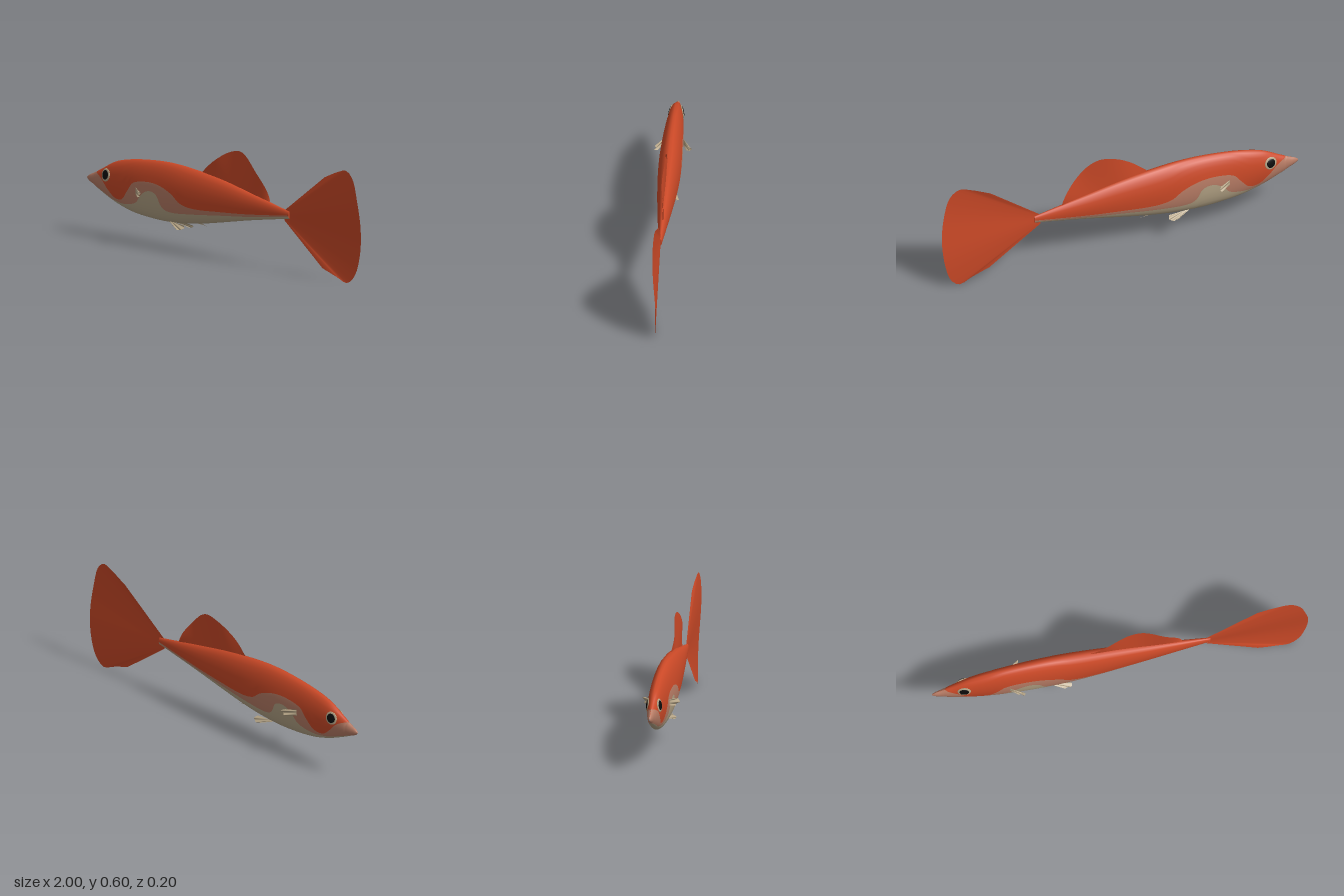
import * as THREE from 'three';

const paint = (name, color, side = THREE.FrontSide) => {
  const m = new THREE.MeshStandardMaterial({ color, side });
  m.name = name;
  return m;
};

// Smooth cubic through [x, value] points
function track(pts) {
  const slope = i => {
    const a = pts[Math.max(0, i - 1)], b = pts[Math.min(pts.length - 1, i + 1)];
    return (b[1] - a[1]) / (b[0] - a[0]);
  };
  return x => {
    let i = 0;
    while (i < pts.length - 2 && x > pts[i + 1][0]) i++;
    const [x0, y0] = pts[i], [x1, y1] = pts[i + 1];
    const d = x1 - x0, t = (x - x0) / d, t2 = t * t, t3 = t2 * t;
    return y0 * (2 * t3 - 3 * t2 + 1) + slope(i) * d * (t3 - 2 * t2 + t)
      + y1 * (3 * t2 - 2 * t3) + slope(i + 1) * d * (t3 - t2);
  };
}

// Body profile: back, belly and half width along x
const back = track([[-1, 0.3], [-0.985, 0.312], [-0.95, 0.327], [-0.9, 0.352], [-0.8, 0.405], [-0.7, 0.432],
  [-0.55, 0.452], [-0.38, 0.46], [-0.2, 0.448], [0, 0.42], [0.2, 0.38], [0.48, 0.323]]);
const belly = track([[-1, 0.292], [-0.985, 0.28], [-0.95, 0.264], [-0.9, 0.24], [-0.8, 0.198], [-0.7, 0.168],
  [-0.6, 0.152], [-0.45, 0.143], [-0.3, 0.15], [-0.15, 0.17], [0, 0.198], [0.2, 0.237], [0.48, 0.285]]);
const halfWidth = track([[-1, 0.003], [-0.985, 0.009], [-0.95, 0.016], [-0.9, 0.025], [-0.8, 0.038], [-0.6, 0.052],
  [-0.35, 0.059], [-0.15, 0.055], [0.1, 0.04], [0.3, 0.024], [0.48, 0.009]]);
// Colour borders on the flank
const creamTop = track([[-1, 0.28], [-0.9, 0.25], [-0.8, 0.212], [-0.7, 0.2], [-0.6, 0.225], [-0.56, 0.27],
  [-0.5, 0.3], [-0.44, 0.285], [-0.41, 0.23], [-0.36, 0.208], [-0.25, 0.212], [0, 0.238], [0.2, 0.258], [0.48, 0.295]]);
const redBottom = track([[-1, 0.33], [-0.94, 0.338], [-0.87, 0.31], [-0.82, 0.26], [-0.77, 0.222], [-0.71, 0.226],
  [-0.66, 0.28], [-0.62, 0.325], [-0.52, 0.346], [-0.42, 0.34], [-0.33, 0.308], [-0.27, 0.266], [-0.18, 0.25],
  [0, 0.258], [0.2, 0.272], [0.48, 0.302]]);

// Elliptical rings whose rows follow the colour borders
function bodyGeometry() {
  const N = 150, K = 6, R = 6 * K, H = Math.PI / 2, pos = [], lists = [[], [], []];
  for (let i = 0; i <= N; i++) {
    const x = -1 + 1.48 * i / N;
    const c = (back(x) + belly(x)) / 2, h = (back(x) - belly(x)) / 2, w = halfWidth(x);
    const angle = y => Math.asin(THREE.MathUtils.clamp((y - c) / h, -0.9995, 0.9995));
    const a1 = angle(creamTop(x)), a2 = Math.max(angle(redBottom(x)), a1 + 0.005);
    const stops = [-H, a1, a2, H];
    for (let j = 0; j < R; j++) {
      const m = j <= R / 2 ? j : R - j, s = Math.min(2, Math.floor(m / K));
      const t = THREE.MathUtils.lerp(stops[s], stops[s + 1], (m - s * K) / K);
      pos.push(x, c + h * Math.sin(t), (j <= R / 2 ? 1 : -1) * w * Math.cos(t));
    }
  }
  for (let i = 0; i < N; i++) for (let j = 0; j < R; j++) {
    const a = i * R + j, d = i * R + (j + 1) % R, strip = Math.floor(j / K);
    lists[Math.min(strip, 5 - strip)].push(a, a + R, d + R, a, d + R, d);
  }
  const g = new THREE.BufferGeometry();
  g.setAttribute('position', new THREE.Float32BufferAttribute(pos, 3));
  g.setIndex(lists.flat());
  let start = 0;
  lists.forEach((l, k) => { g.addGroup(start, l.length, k); start += l.length; });
  g.computeVertexNormals();
  return g;
}

// Thin fin: a sheet stretched from a root edge to an outer edge, with a ripple
function finGeometry(root, rim, ripple = () => 0, nu = 40, nv = 10) {
  const curve = p => new THREE.CatmullRomCurve3(p.map(q => new THREE.Vector3(...q)), false, 'centripetal');
  const a = curve(root).getSpacedPoints(nu), b = curve(rim).getSpacedPoints(nu);
  const g = new THREE.PlaneGeometry(1, 1, nu, nv), p = g.attributes.position, v = new THREE.Vector3();
  for (let k = 0; k < p.count; k++) {
    const i = k % (nu + 1), f = Math.floor(k / (nu + 1)) / nv;
    v.lerpVectors(a[i], b[i], f);
    p.setXYZ(k, v.x, v.y, v.z + f * ripple(i / nu));
  }
  g.computeVertexNormals();
  return g;
}

export function createModel() {
  const red = paint('red', 0xcb4927), rose = paint('rose', 0xb97d66);
  const cream = paint('cream', 0xb5a486), black = paint('black', 0x0b0b0b);
  const redFin = paint('red fin', 0xcb4927, THREE.DoubleSide);
  const creamFin = paint('cream fin', 0xb5a486, THREE.DoubleSide);
  const model = new THREE.Group();
  const add = (name, geometry, material, parent = model) => {
    const mesh = new THREE.Mesh(geometry, material);
    mesh.name = name;
    parent.add(mesh);
    return mesh;
  };

  add('body', bodyGeometry(), [cream, rose, red]);
  const cap = add('tailStump', new THREE.CircleGeometry(1, 24), red);
  cap.rotation.y = Math.PI / 2;
  cap.scale.set(0.009, 0.019, 1);
  cap.position.set(0.48, 0.304, 0);

  // Fan tail and back fin
  add('tailFin', finGeometry(
    [[0.445, 0.325, 0], [0.445, 0.27, 0]],
    [[0.73, 0.54, 0], [0.83, 0.582, 0], [0.9, 0.599, 0], [0.95, 0.56, 0], [0.985, 0.44, 0], [1, 0.3, 0],
      [0.985, 0.15, 0], [0.95, 0.045, 0], [0.9, 0.003, 0], [0.83, 0.027, 0], [0.73, 0.06, 0]],
    u => 0.009 * Math.sin(u * 9 - 1.2)), redFin);
  add('dorsalFin', finGeometry(
    [[-0.16, 0.43, 0], [0.09, 0.39, 0], [0.33, 0.345, 0]],
    [[-0.16, 0.442, 0], [-0.06, 0.52, 0], [0.03, 0.572, 0], [0.11, 0.589, 0], [0.17, 0.565, 0],
      [0.26, 0.475, 0], [0.31, 0.405, 0], [0.33, 0.36, 0]],
    u => 0.008 * Math.sin(u * 11)), redFin);
  add('analFin', finGeometry(
    [[-0.21, 0.164, 0], [-0.17, 0.17, 0]],
    [[-0.15, 0.162, 0], [-0.11, 0.156, 0]]), creamFin);

  // Eyes and paired fins on both sides
  for (const s of [1, -1]) {
    const side = s > 0 ? 'left' : 'right';
    const eye = new THREE.Group();
    eye.name = side + 'Eye';
    eye.position.set(-0.835, 0.335, s * 0.031);
    eye.lookAt(-0.835 - 0.18, 0.335 + 0.17, s * 1.031);
    model.add(eye);
    add('eyeRing', new THREE.SphereGeometry(0.035, 32, 16), cream, eye).scale.z = 0.16;
    const pupil = add('pupil', new THREE.SphereGeometry(0.025, 32, 16), black, eye);
    pupil.scale.z = 0.16;
    pupil.position.z = 0.004;

    add(side + 'PectoralFin', finGeometry(
      [[-0.61, 0.308, s * 0.045], [-0.6, 0.295, s * 0.05], [-0.6, 0.272, s * 0.05]],
      [[-0.545, 0.3, s * 0.082], [-0.522, 0.29, s * 0.094], [-0.53, 0.275, s * 0.09], [-0.555, 0.263, s * 0.075]],
      u => 0.006 * Math.sin(u * 14)), creamFin);
    add(side + 'PelvicFin', finGeometry(
      [[-0.39, 0.15, s * 0.012], [-0.34, 0.15, s * 0.016]],
      [[-0.31, 0.124, s * 0.042], [-0.285, 0.122, s * 0.044], [-0.262, 0.132, s * 0.036], [-0.27, 0.146, s * 0.022]],
      u => 0.004 * Math.sin(u * 14)), creamFin);
  }
  return model;
}
